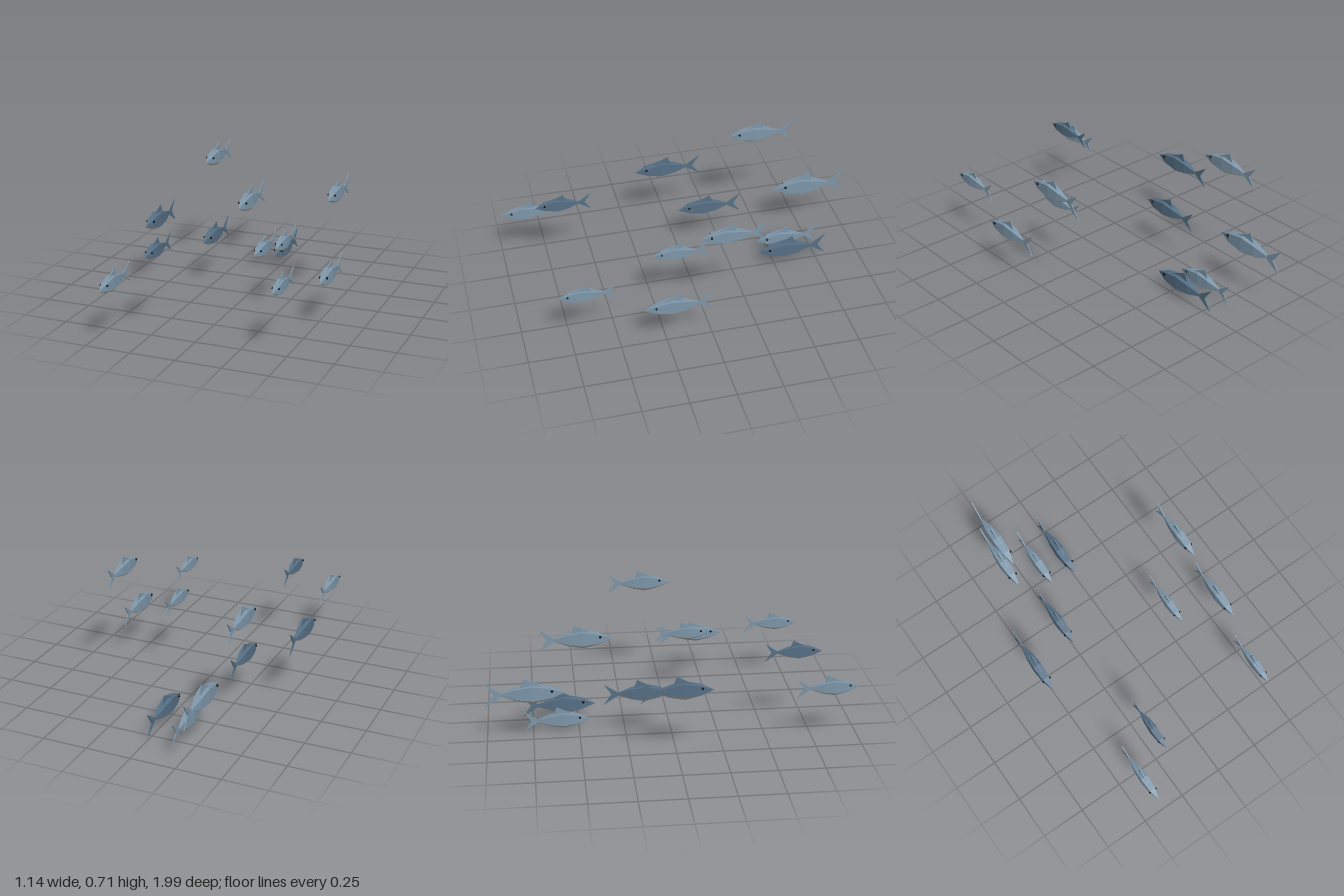
import * as THREE from 'three';

// Body sections along a unit-length fish: [distance behind nose, half width, back, lower edge, keel]
const SECTIONS = [
  [0, 0, 0, 0, 0],
  [0.18, 0.05, 0.075, -0.05, -0.08],
  [0.4, 0.064, 0.118, -0.08, -0.132],
  [0.6, 0.05, 0.08, -0.058, -0.095],
  [0.79, 0.012, 0.02, -0.014, -0.022],
  [0.81, 0, 0, 0, 0],
];

const ring = ([d, w, top, low, keel]) => [
  [w, top, -d], [-w, top, -d], [-w, low, -d], [0, keel, -d], [w, low, -d],
];

// Faceted skin over the chosen sides of the five-sided section
function skin(sides) {
  const pos = [];
  for (let s = 0; s < SECTIONS.length - 1; s++) {
    const a = ring(SECTIONS[s]), b = ring(SECTIONS[s + 1]);
    for (const i of sides) {
      const j = (i + 1) % 5;
      if (SECTIONS[s + 1][1] > 0) pos.push(...a[i], ...b[i], ...b[j]);
      if (SECTIONS[s][1] > 0) pos.push(...a[i], ...b[j], ...a[j]);
    }
  }
  const g = new THREE.BufferGeometry();
  g.setAttribute('position', new THREE.Float32BufferAttribute(pos, 3));
  g.computeVertexNormals();
  return g;
}

// Thin upright fin from [distance behind nose, height] points
function fin(points) {
  const t = 0.014;
  const shape = new THREE.Shape(points.map(([d, y]) => new THREE.Vector2(d, y)));
  const g = new THREE.ExtrudeGeometry(shape, { depth: t, bevelEnabled: false });
  return g.translate(0, 0, -t / 2).rotateY(Math.PI / 2);
}

const material = (color) => new THREE.MeshStandardMaterial({ color, flatShading: true });

// [x, nose height, nose z, length, dark]
const SCHOOL = [
  [-0.3, 0.292, -0.574, 0.426, 0],
  [-0.143, 0.058, -0.435, 0.365, 0],
  [-0.003, 0.085, -0.403, 0.4, 1],
  [-0.4, 0.632, -0.327, 0.375, 0],
  [-0.28, 0.26, -0.003, 0.365, 1],
  [-0.543, 0.38, 0.19, 0.383, 1],
  [0.476, 0.615, 0.065, 0.354, 0],
  [0.257, 0.38, 0.274, 0.312, 0],
  [0.542, 0.261, 0.38, 0.367, 0],
  [-0.242, 0.446, 0.818, 0.31, 1],
  [0.444, 0.347, 0.816, 0.31, 0],
  [-0.414, 0.303, 0.994, 0.34, 0],
];

export function createModel() {
  const model = new THREE.Group();
  model.name = 'schoolOfFish';

  const geo = {
    body: skin([0, 1, 4]),
    belly: skin([2, 3]),
    tailFin: fin([[0.76, 0], [1, 0.158], [0.89, 0], [1, -0.158]]),
    dorsalFin: fin([[0.27, 0.08], [0.3, 0.105], [0.51, 0.208], [0.56, 0.08]]),
    eye: new THREE.SphereGeometry(0.018, 8, 6),
  };
  const light = material(0x7d96a9), dark = material(0x566f84);
  const bellyMat = material(0xc4bfb6), eyeMat = material(0x0a0a0a);

  SCHOOL.forEach(([x, y, z, length, isDark], n) => {
    const fish = new THREE.Group();
    fish.name = `fish${n + 1}`;
    const add = (name, g, m) => {
      const mesh = new THREE.Mesh(g, m);
      mesh.name = name;
      fish.add(mesh);
      return mesh;
    };
    const skinMat = isDark ? dark : light;
    add('body', geo.body, skinMat);
    add('belly', geo.belly, bellyMat);
    add('tailFin', geo.tailFin, skinMat);
    add('dorsalFin', geo.dorsalFin, skinMat);
    for (const [name, side] of [['leftEye', 1], ['rightEye', -1]])
      add(name, geo.eye, eyeMat).position.set(side * 0.053, 0.045, -0.167);

    fish.scale.setScalar(length);
    fish.position.set(x, y, z);
    model.add(fish);
  });
  return model;
}
